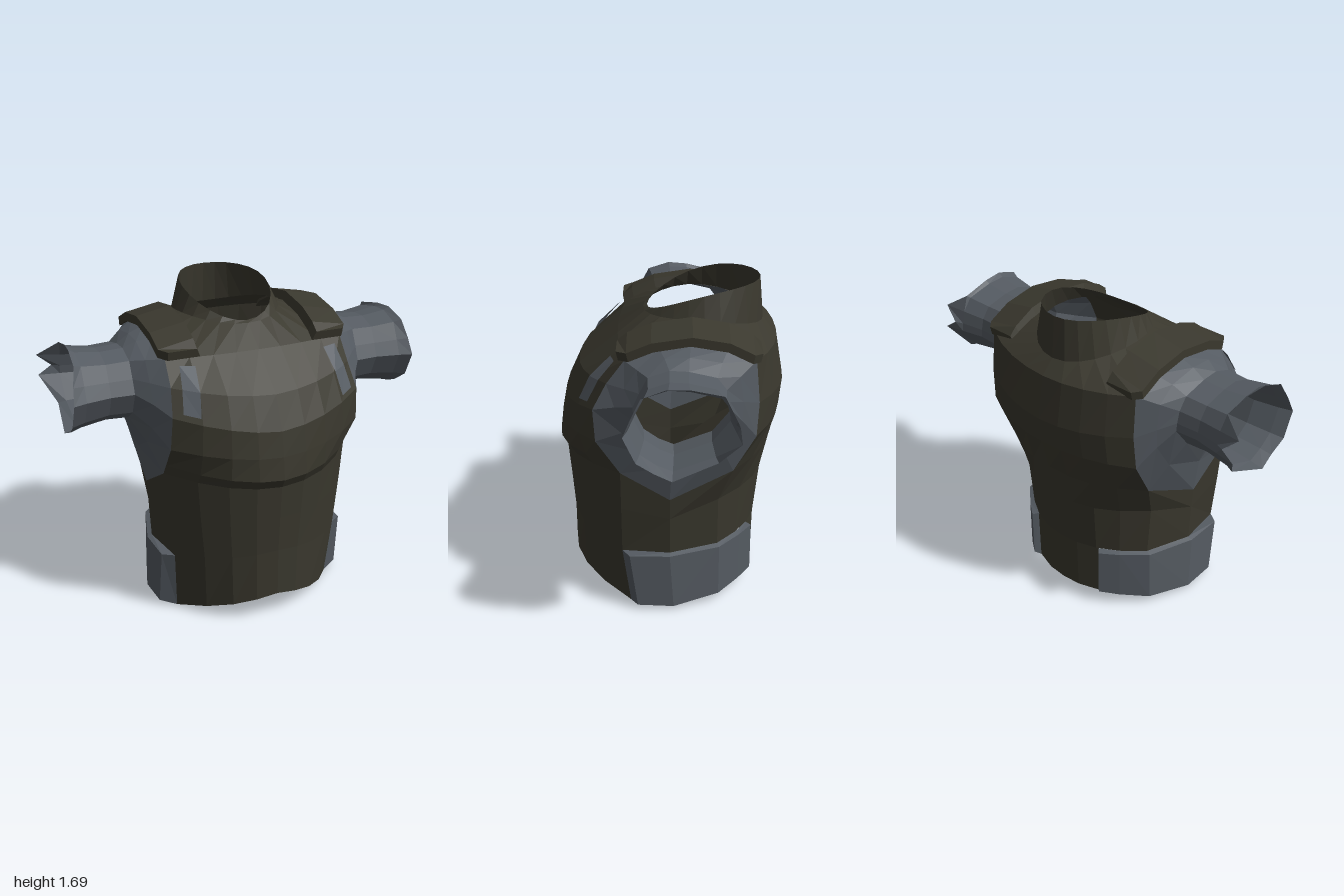
import * as THREE from 'three';

const olive = new THREE.MeshStandardMaterial({ color: 0x3a382e, side: THREE.DoubleSide });
olive.name = 'dark olive';
const slate = new THREE.MeshStandardMaterial({ color: 0x555b62, side: THREE.DoubleSide });
slate.name = 'slate grey';

// Faceted surface through a grid of [x, y, z] points (column direction x row direction = outside)
function surface(name, rows, material, side = 1) {
  const pos = [];
  const put = (...pts) => pts.forEach(p => pos.push(p[0] * side, p[1], p[2]));
  for (let i = 0; i < rows.length - 1; i++) {
    for (let j = 0; j < rows[i].length - 1; j++) {
      const a = rows[i][j], b = rows[i][j + 1], c = rows[i + 1][j + 1], d = rows[i + 1][j];
      if (side > 0) put(a, b, c, a, c, d);
      else put(a, c, b, a, d, c);
    }
  }
  const g = new THREE.BufferGeometry();
  g.setAttribute('position', new THREE.Float32BufferAttribute(pos, 3));
  g.computeVertexNormals();
  const mesh = new THREE.Mesh(g, material);
  mesh.name = name;
  return mesh;
}

const mix = (a, b, t) => a.map((v, i) => v + (b[i] - v) * t);
const closed = ring => [...ring, ring[0]];

// Shell rows: edge x, edge z, edge y, centre z, centre y
const frontRows = [
  [0.45, 0.21, 0.0, 0.53, 0.14], [0.47, 0.25, 0.33, 0.53, 0.4],
  [0.5, 0.25, 0.6, 0.545, 0.6], [0.52, 0.25, 0.82, 0.56, 0.78],
  [0.52, 0.29, 0.88, 0.59, 0.83], [0.52, 0.37, 1.0, 0.575, 0.95],
  [0.51, 0.38, 1.17, 0.55, 1.08], [0.49, 0.31, 1.3, 0.475, 1.25],
  [0.485, 0.22, 1.42, 0.27, 1.42],
];
const backRows = [
  [0.43, -0.25, 0.35, -0.465, 0.36], [0.45, -0.25, 0.63, -0.495, 0.65],
  [0.49, -0.32, 0.82, -0.535, 0.85], [0.5, -0.43, 1.02, -0.575, 1.03],
  [0.49, -0.44, 1.2, -0.59, 1.17], [0.485, -0.42, 1.42, -0.55, 1.4],
];
const backHem = [0.43, -0.25, 0.05, -0.46, 0.06];
function shellPoint([xe, ze, ye, zc, yc], t) {
  const a = Math.abs(t);
  return [xe * t, yc + (ye - yc) * a ** 1.4, zc + (ze - zc) * a ** 2.2];
}
const columns = [-1, -0.75, -0.5, -0.25, 0, 0.25, 0.5, 0.75, 1];
const tailColumns = [-0.53, -0.25, 0, 0.25, 0.53];

// Full ring from a half outline that runs front centre to back centre
const mirrorRing = half => closed([...half, ...half.slice(1, -1).reverse().map(([x, y, z]) => [-x, y, z])]);

function neckRing(rx, rz, cz, height) {
  const ring = [];
  for (let k = 0; k <= 24; k++) {
    const a = k * Math.PI / 12, c = Math.cos(a), s = Math.sin(a);
    ring.push([rx * s, height(c, s), cz + rz * c]);
  }
  return ring;
}

// Edge of the arm panel, from the shoulder top round the front
const armEdge = [
  [0.485, 1.5, -0.1], [0.485, 1.48, 0.05], [0.485, 1.42, 0.22], [0.49, 1.3, 0.31],
  [0.51, 1.17, 0.38], [0.52, 1.0, 0.37], [0.52, 0.82, 0.25], [0.53, 0.67, 0],
  [0.49, 0.82, -0.32], [0.5, 1.02, -0.43], [0.49, 1.2, -0.44], [0.485, 1.42, -0.42],
  [0.485, 1.48, -0.28],
];
// Sleeve section as [z, y], and how far out each corner of the torn cuff reaches
const sleeveSection = [
  [-0.09, 1.42], [0, 1.425], [0.1, 1.39], [0.14, 1.31], [0.17, 1.24], [0.12, 1.13], [0.05, 1.08],
  [-0.02, 1.05], [-0.2, 1.12], [-0.285, 1.23], [-0.28, 1.27], [-0.265, 1.33], [-0.22, 1.39],
];
const cuffReach = [0.9, 0.91, 0.92, 0.94, 0.95, 0.95, 0.94, 0.95, 0.92, 0.99, 0.92, 1.0, 0.89];

function sleeveRows() {
  const ring = (x, scale) => sleeveSection.map(([z, y]) => [x, 1.24 + (y - 1.24) * scale, -0.06 + (z + 0.06) * scale]);
  const root = ring(0.63, 1.03);
  const blend = armEdge.map((p, i) => {
    const m = mix(p, root[i], 0.55);
    return [0.565, m[1] + (i < 2 || i > 11 ? 0.01 : 0), m[2]];
  });
  const cuff = ring(0, 1.19).map((p, i) => [cuffReach[i], p[1], p[2]]);
  return [armEdge, blend, root, ring(0.75, 1), ring(0.88, 1.1), cuff].map(closed);
}

// Strap arched over the shoulder, with closed ends
function padRows() {
  const path = [[0.25, 1.42], [0.2, 1.46], [0.08, 1.51], [-0.1, 1.54], [-0.28, 1.51], [-0.4, 1.45], [-0.44, 1.41]];
  const rows = path.map(([z, y], i) => {
    const end = i === 0 || i === path.length - 1;
    const outer = end ? 0.48 : 0.515, lift = end ? 0.035 : 0, dz = z > 0 ? 0.01 : -0.01;
    return closed([[0.31, y, z], [0.33, y + 0.045, z + dz],
      [outer, y + 0.01 + lift, z + dz], [outer, y - 0.035 + lift, z]]);
  });
  const cap = row => {
    const c = mix(row[0], row[2], 0.5);
    return row.map(() => c);
  };
  return [cap(rows[0]), ...rows, cap(rows[rows.length - 1])];
}

// Chest slot laid just above the front shell
function slotRows() {
  return [6.2, 7, 7.75].map((v, i) => {
    const r = Math.floor(v), row = mix(frontRows[r], frontRows[r + 1], v - r);
    const x = 0.385 - i * 0.017;
    return [x, x + 0.075].map(px => {
      // follow the facet between the two nearest columns
      const t = px / row[0], c = Math.min(3, Math.floor(t * 4)) / 4;
      const p = mix(shellPoint(row, c), shellPoint(row, c + 0.25), (t - c) * 4);
      return [p[0] + 0.003, p[1] + 0.006, p[2] + 0.012];
    });
  });
}

export function createModel() {
  const model = new THREE.Group();
  model.name = 'armourVest';

  model.add(surface('frontShell', frontRows.map(r => columns.map(t => shellPoint(r, t))), olive));
  model.add(surface('backShell', backRows.map(r => columns.map(t => shellPoint(r, -t))), olive));
  model.add(surface('backTail', [backHem, backRows[0]].map(r => tailColumns.map(t => shellPoint(r, -t))), olive));

  // Yoke between the shells and the neck
  const across = [0, 0.25, 0.5, 0.75, 1];
  const yokeEdge = mirrorRing([
    ...across.map(t => shellPoint(frontRows[8], t)),
    [0.485, 1.48, 0.05], [0.485, 1.5, -0.1], [0.485, 1.48, -0.28],
    ...across.map(t => shellPoint(backRows[5], 1 - t)),
  ]);
  const neckBase = neckRing(0.28, 0.31, -0.17, (c, s) => 1.495 + 0.025 * c + 0.045 * s * s);
  const neckRim = neckRing(0.235, 0.29, -0.17, c => 1.53 + 0.16 * (1 - Math.max(0, (1 + c) / 2) ** 2.2));
  model.add(surface('yoke', [yokeEdge, neckBase], olive));
  model.add(surface('collar', [neckBase, neckRim], olive));

  // Sloping lining seen down the neck
  const lining = neckRing(0.22, 0.285, -0.145, c => 0.7 - 0.25 * c);
  model.add(surface('innerLining', [lining, lining.map(() => [0, 0.7, -0.145])], olive));

  // Waist side between the belt and the arm panel
  const waist = [
    [[0.47, 0.33, 0.25], [0.51, 0.34, 0], [0.43, 0.35, -0.25]],
    [[0.5, 0.6, 0.25], [0.52, 0.55, 0], [0.45, 0.63, -0.25]],
    [[0.52, 0.82, 0.25], [0.53, 0.67, 0], [0.49, 0.82, -0.32]],
  ];
  // Raised belt plate, bevelled at the top and ends, wrapping onto the back
  const [w0, w1, w2] = waist[0];
  const w3 = shellPoint(backRows[0], 0.75), w4 = shellPoint(backRows[0], 0.53);
  const belt = [
    [[0.45, 0, 0.21], [0.535, 0.025, 0.17], [0.54, 0.02, -0.02], [0.46, 0.05, -0.26],
      [0.34, 0.065, -0.37], [0.25, 0.08, -0.44], shellPoint(backHem, 0.53)],
    [w0, [0.53, 0.33, 0.21], [0.535, 0.33, 0], [0.455, 0.34, -0.26],
      [0.34, 0.345, -0.37], [0.25, 0.35, -0.44], w4],
    [w0, w0, w1, w2, w3, w4, w4],
  ];

  for (const side of [1, -1]) {
    const s = side > 0 ? 'left' : 'right';
    model.add(surface(s + 'WaistSide', waist, olive, side));
    model.add(surface(s + 'BeltPlate', belt, slate, side));
    model.add(surface(s + 'Sleeve', sleeveRows(), slate, side));
    model.add(surface(s + 'ShoulderPad', padRows(), olive, side));
    model.add(surface(s + 'ChestSlot', slotRows(), slate, side));
  }
  return model;
}
